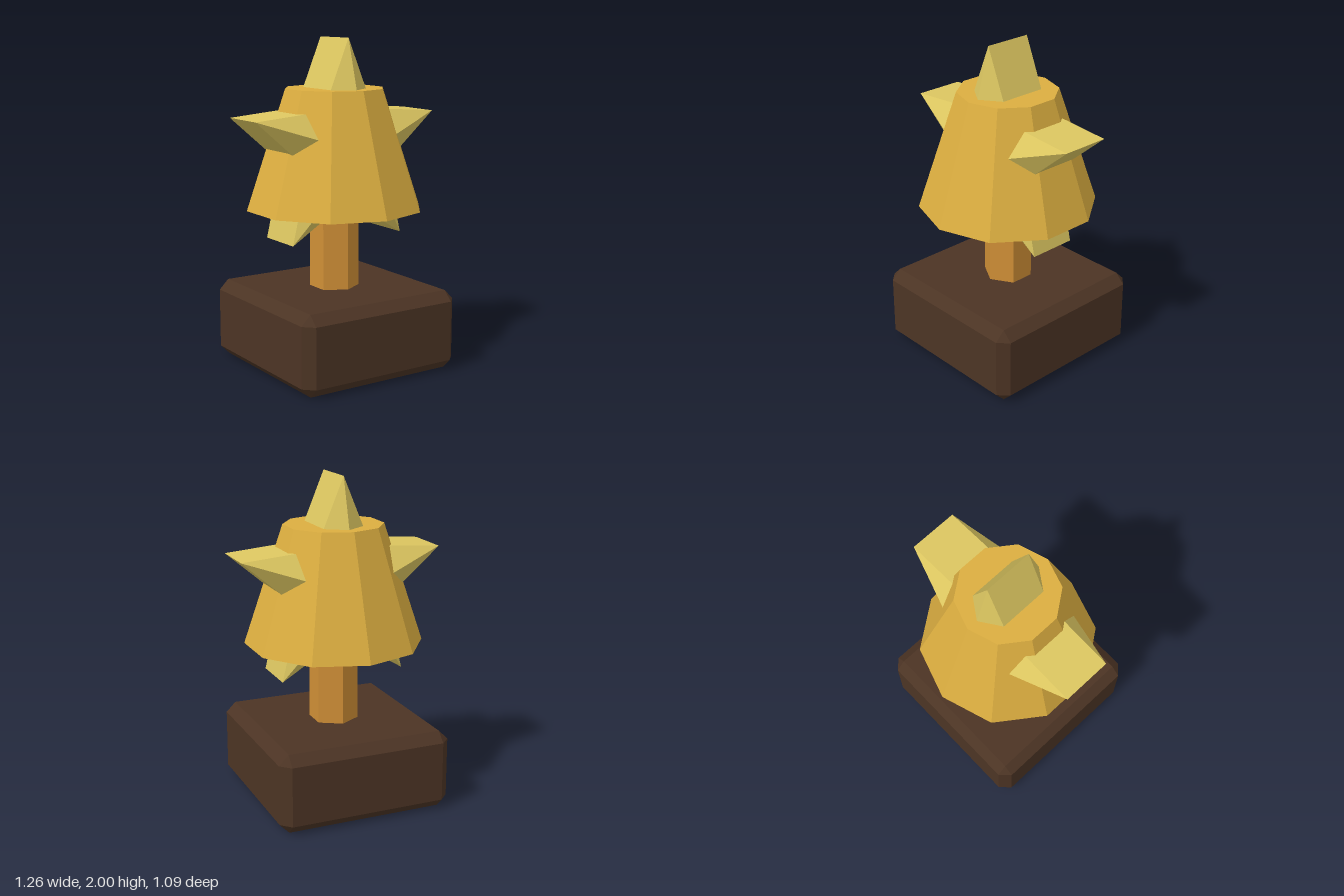
import * as THREE from 'three';
import { ConvexGeometry } from 'three/addons/geometries/ConvexGeometry.js';

function material(name, color) {
  const m = new THREE.MeshStandardMaterial({ color, flatShading: true });
  m.name = name;
  return m;
}

// Box with every edge cut at 45 degrees
function chamferedBox(hx, hy, hz, c) {
  const points = [];
  for (const x of [-1, 1]) for (const y of [-1, 1]) for (const z of [-1, 1]) {
    points.push(
      new THREE.Vector3(x * hx, y * (hy - c), z * (hz - c)),
      new THREE.Vector3(x * (hx - c), y * hy, z * (hz - c)),
      new THREE.Vector3(x * (hx - c), y * (hy - c), z * hz));
  }
  return new ConvexGeometry(points);
}

// Thick five-pointed star whose faces rise to a centre point front and back
function facetedStar(outer, inner, rimZ, centreZ) {
  const positions = [];
  const rim = (i, z) => {
    const r = i % 2 ? inner : outer;
    const a = i * Math.PI / 5;
    return [r * Math.sin(a), r * Math.cos(a), z];
  };
  const tri = (...corners) => positions.push(...corners.flat());
  for (let i = 0; i < 10; i++) {
    const f0 = rim(i, rimZ), f1 = rim(i + 1, rimZ);
    const b0 = rim(i, -rimZ), b1 = rim(i + 1, -rimZ);
    tri([0, 0, centreZ], f1, f0);
    tri([0, 0, -centreZ], b0, b1);
    tri(f0, f1, b1);
    tri(f0, b1, b0);
  }
  const g = new THREE.BufferGeometry();
  g.setAttribute('position', new THREE.Float32BufferAttribute(positions, 3));
  g.computeVertexNormals();
  return g;
}

export function createModel() {
  const group = new THREE.Group();
  const add = (name, geometry, mat, y) => {
    const mesh = new THREE.Mesh(geometry, mat);
    mesh.name = name;
    mesh.position.y = y;
    group.add(mesh);
  };

  // Plinth and post
  add('base', chamferedBox(0.543, 0.243, 0.543, 0.06), material('dark wood', 0x4c3424), 0.243);
  add('post', new THREE.CylinderGeometry(0.15, 0.15, 0.6, 6), material('bronze', 0xcf8f36), 0.74);

  // Ten-sided bell with the star poking through it
  add('bell', new THREE.CylinderGeometry(0.303, 0.543, 0.725, 10), material('gold', 0xdcae40), 1.3375);
  add('star', facetedStar(0.662, 0.298, 0.15, 0.337), material('pale gold', 0xdcc660), 1.338);

  return group;
}
